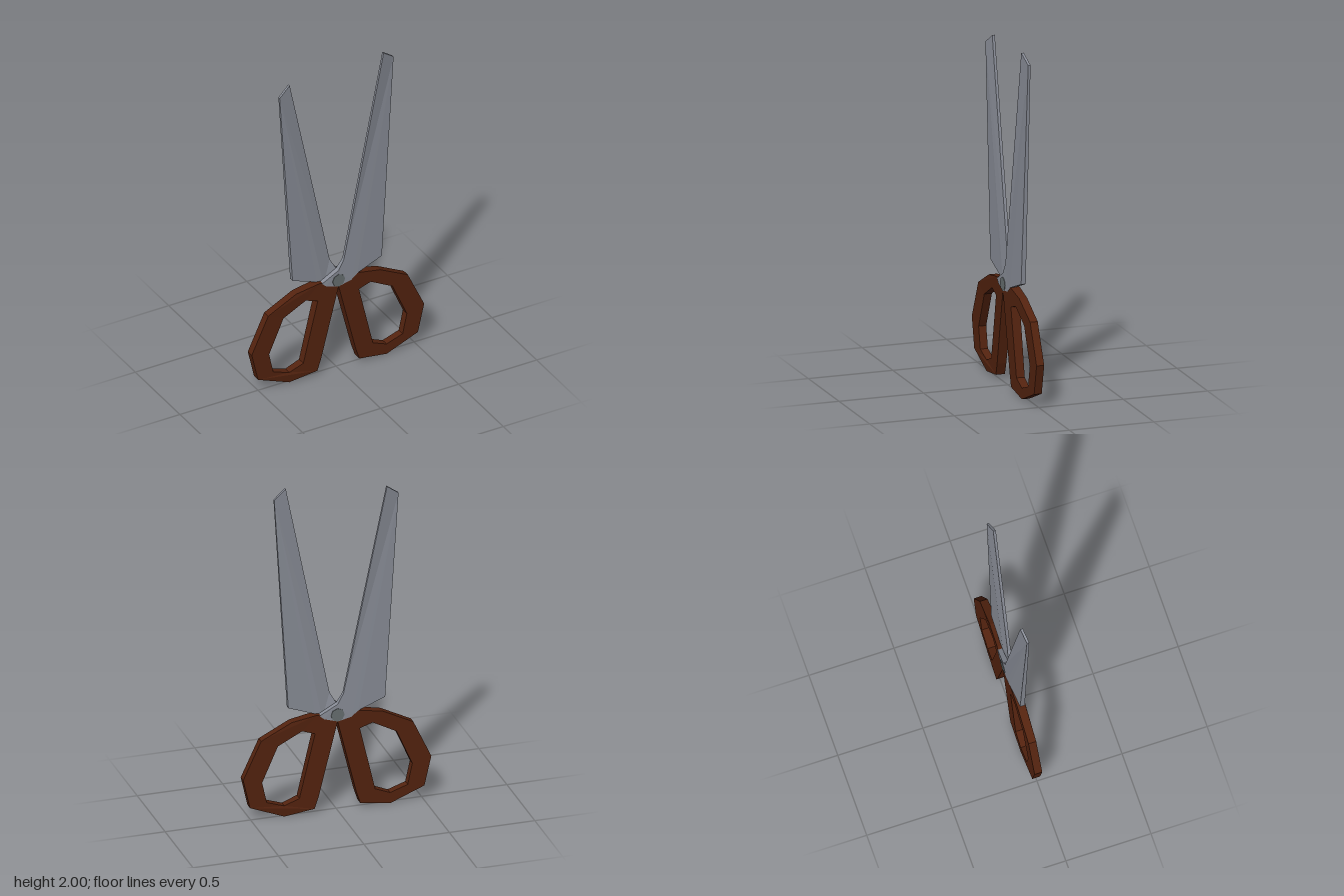
import * as THREE from 'three';

const mat = (name, color) => {
  const m = new THREE.MeshStandardMaterial({ color });
  m.name = name;
  return m;
};

// Plate from outline corners [x, y, back z, front z]; each corner keeps its own thickness
function plate(name, material, outline, hole = []) {
  const toVec = (p) => new THREE.Vector2(p[0], p[1]);
  const shape = new THREE.Shape(outline.map(toVec));
  if (hole.length) shape.holes.push(new THREE.Path(hole.map(toVec)));
  const geo = new THREE.ExtrudeGeometry(shape, { depth: 1, bevelEnabled: false });
  const pos = geo.attributes.position;
  const corners = [...outline, ...hole];
  for (let i = 0; i < pos.count; i++) {
    const x = pos.getX(i), y = pos.getY(i);
    const c = corners.find((p) => Math.hypot(p[0] - x, p[1] - y) < 1e-4);
    pos.setZ(i, pos.getZ(i) > 0.5 ? c[3] : c[2]);
  }
  geo.computeVertexNormals(); // non-indexed, so facets stay flat
  const mesh = new THREE.Mesh(geo, material);
  mesh.name = name;
  return mesh;
}

// Handle ring thickens towards the pivot on one side
const handlePoint = ([x, y]) => [x, y, -0.03, 0.015 + 0.015 * Math.min(1, Math.max(0, (x + 0.3) / 0.3))];

const ring = [
  [0, 0.55], [0, 0.59], [-0.12, 0.602], [-0.265, 0.575], [-0.443, 0.485], [-0.548, 0.26],
  [-0.508, 0.085], [-0.308, 0.005], [-0.133, 0.03], [-0.11, 0.1],
].map(handlePoint);
const fingerHole = [
  [-0.13, 0.49], [-0.205, 0.515], [-0.345, 0.44], [-0.437, 0.23],
  [-0.41, 0.105], [-0.307, 0.07], [-0.22, 0.105],
].map(handlePoint);

// One half: a blade that crosses the pivot to the handle on the other side
function half(name, drop, steel, brown) {
  const g = new THREE.Group();
  g.name = name;
  const blade = [
    [0.29, 2.0 - drop, 0.012, 0.027],
    [0.362, 1.945 - drop, -0.002, 0.012],
    [0.28, 0.66, -0.003, 0.024],
    [0.12, 0.6, 0, 0.0305],
    [0.08, 0.568, 0, 0.031],
    [0, 0.55, 0, 0.031],
    [-0.08, 0.575, 0, 0.029],
    [-0.105, 0.597, 0, 0.027],
    [0, 0.655, 0, 0.03],
    [0.035, 0.717, 0.01, 0.028],
  ];
  g.add(plate('blade', steel, blade), plate('handle', brown, ring, fingerHole));
  return g;
}

export function createModel() {
  const steel = mat('steel', 0x8a8e98);
  const brown = mat('brown', 0x54230f);
  const dark = mat('darkSteel', 0x687071);

  const model = new THREE.Group();
  model.name = 'scissors';

  // Front half and its half-turned partner
  const front = half('frontHalf', 0, steel, brown);
  const back = half('backHalf', 0.052, steel, brown);
  back.rotation.y = Math.PI;
  model.add(front, back);

  // Pivot pin through both halves
  const pin = new THREE.CylinderGeometry(0.04, 0.04, 0.066, 8).toNonIndexed();
  pin.computeVertexNormals();
  const pivot = new THREE.Mesh(pin, dark);
  pivot.name = 'pivotPin';
  pivot.rotation.x = Math.PI / 2;
  pivot.position.y = 0.59;
  model.add(pivot);

  model.position.y = -0.005;
  const root = new THREE.Group();
  root.name = 'model';
  root.add(model);
  return root;
}
